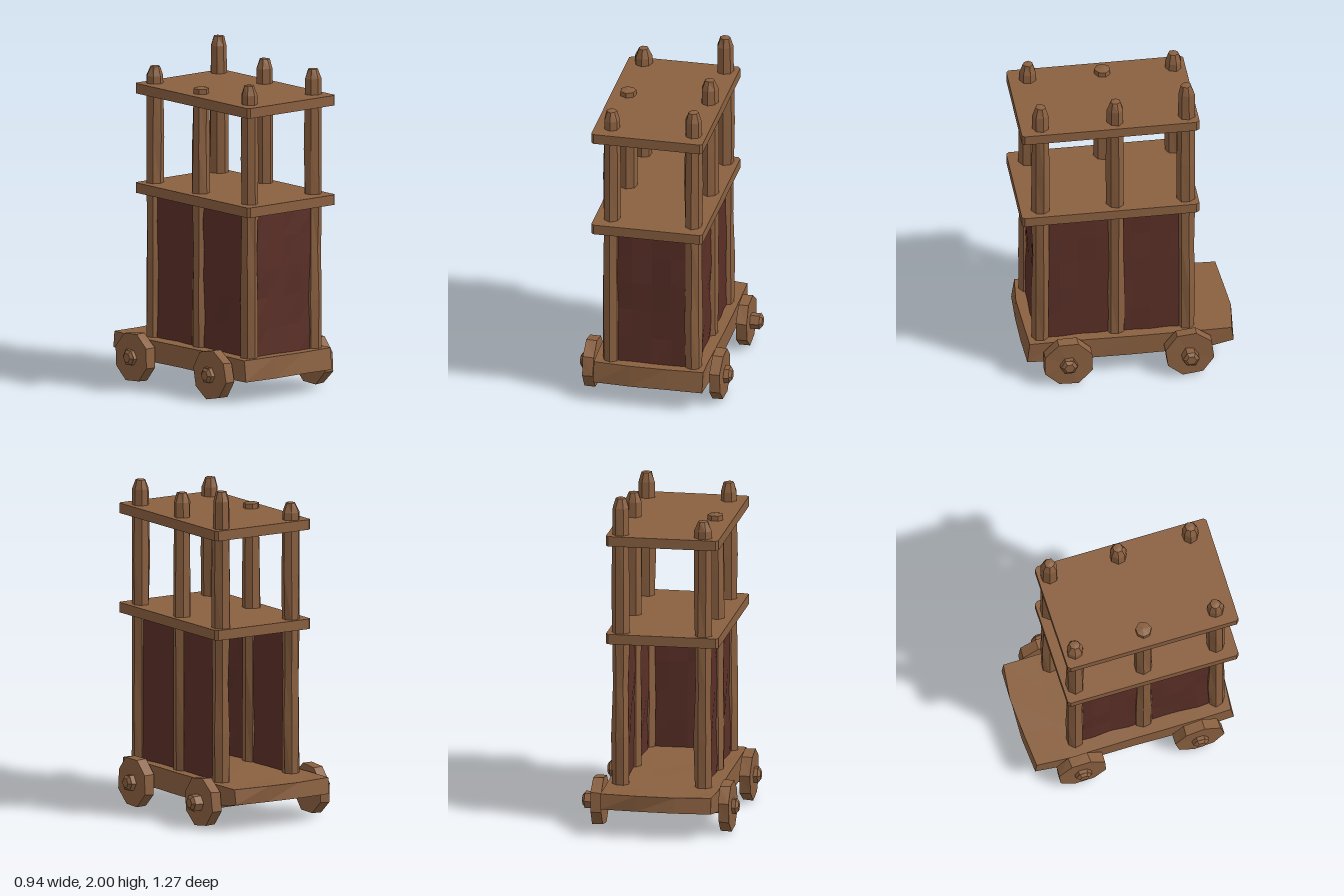
import * as THREE from 'three';

const wood = new THREE.MeshStandardMaterial({ color: 0x8a6040, flatShading: true });
wood.name = 'wood';
const hide = new THREE.MeshStandardMaterial({ color: 0x5a2f27, flatShading: true });
hide.name = 'hide';

// Repeatable noise from a position, so shared corners move together
function noise(x, y, z, seed) {
  const r = (v) => Math.round(v * 1000) / 1000 + 0;
  const s = Math.sin(r(x) * 127.1 + r(y) * 311.7 + r(z) * 74.7 + seed * 19.3) * 43758.5453;
  return (s - Math.floor(s)) * 2 - 1;
}

// Rough-hewn look: shift each vertex by up to the given amounts
function roughen(geo, ax, ay, az, seed) {
  const p = geo.attributes.position;
  for (let i = 0; i < p.count; i++) {
    const x = p.getX(i), y = p.getY(i), z = p.getZ(i);
    p.setXYZ(i, x + ax * noise(x, y, z, seed), y + ay * noise(x, y, z, seed + 1), z + az * noise(x, y, z, seed + 2));
  }
  return geo;
}

function add(parent, name, geo, mat, x = 0, y = 0, z = 0) {
  const mesh = new THREE.Mesh(geo, mat);
  mesh.name = name;
  mesh.position.set(x, y, z);
  parent.add(mesh);
  return mesh;
}

// Slab with clipped corners, given as an outline in x and z
function slab(x0, x1, z0, z1, height, clip) {
  const c = clip;
  const pts = [[x0 + c, z0], [x1 - c, z0 - 0.005], [x1, z0 + c], [x1, z1 - c], [x1 - c, z1], [x0 + c, z1], [x0, z1 - c], [x0, z0 + c]];
  const shape = new THREE.Shape(pts.map(([x, z]) => new THREE.Vector2(x, -z)));
  return new THREE.ExtrudeGeometry(shape, { depth: height, bevelEnabled: false }).rotateX(-Math.PI / 2);
}

// Hewn post: a profile of radii with a blunt tip
function post(bottom, top, blunt, seed) {
  const tip = blunt ? [[0.048, top - 0.01], [0, top]] : [[0.05, top - 0.06], [0.03, top - 0.005], [0, top]];
  const profile = [[0, bottom], [0.052, bottom], [0.055, 0.55], [0.05, 0.85], [0.053, 1.15], [0.054, 1.45], ...tip];
  const geo = new THREE.LatheGeometry(profile.map(([r, y]) => new THREE.Vector2(r, y)), 7);
  const p = geo.attributes.position;
  for (let i = 0; i < p.count; i++) {
    const x = p.getX(i), y = p.getY(i), z = p.getZ(i);
    const k = 1 + 0.1 * noise(x, y, z, seed);
    p.setXYZ(i, x * k, y, z * k);
  }
  return geo;
}

export function createModel() {
  const model = new THREE.Group();
  model.name = 'siegeTower';

  // Base beam, tapering to a lip at the back
  const base = new THREE.BoxGeometry(0.67, 0.13, 1.25, 3, 1, 6);
  const bp = base.attributes.position;
  for (let i = 0; i < bp.count; i++) {
    const x = bp.getX(i), y = bp.getY(i), z = bp.getZ(i);
    if (z < -0.6 && y < 0) bp.setY(i, y + 0.035);
    if (Math.abs(z) > 0.6 && Math.abs(x) > 0.3) {
      bp.setZ(i, z * 0.975);
      bp.setX(i, x * 0.985);
    }
    if (z > 0.6) bp.setZ(i, bp.getZ(i) - (y > 0 ? 0.015 : 0.005));
  }
  add(model, 'base', roughen(base, 0.004, 0.003, 0.008, 3), wood, -0.015, 0.195, 0);

  // Two decks
  add(model, 'middleDeck', slab(-0.35, 0.32, -0.41, 0.64, 0.06, 0.015), wood, 0, 1.12, 0);
  add(model, 'topDeck', slab(-0.35, 0.32, -0.41, 0.64, 0.06, 0.015), wood, 0, 1.715, 0);

  // Six posts: x, z, top height
  const posts = [
    [-0.25, 0.525, 1.89], [-0.25, 0.08, 1.815], [-0.25, -0.34, 1.88],
    [0.24, 0.52, 1.93], [0.24, 0.075, 1.925], [0.24, -0.345, 2.0],
  ];
  posts.forEach(([x, z, top], i) => {
    add(model, 'post', post(0.22, top, top < 1.85, i * 7 + 1), wood, x, 0, z);
  });

  // Hide walls: front and both sides, back left open
  const front = roughen(new THREE.BoxGeometry(0.47, 0.89, 0.03, 4, 5, 1), 0, 0, 0.007, 11);
  add(model, 'frontWall', front, hide, -0.005, 0.69, 0.53);
  for (const x of [-0.25, 0.24]) {
    for (const z of [0.3, -0.13]) {
      const wall = roughen(new THREE.BoxGeometry(0.03, 0.89, 0.43, 1, 5, 4), 0.007, 0, 0, 20 + x + z);
      add(model, 'sideWall', wall, hide, x, 0.69, z);
    }
  }

  // Axles with rough ends and octagonal wheels
  [[0.375, -0.468, 0.445], [-0.345, -0.465, 0.468]].forEach(([z, x0, x1], i) => {
    const axle = new THREE.CylinderGeometry(0.05, 0.05, x1 - x0 - 0.03, 6, 3).rotateZ(Math.PI / 2);
    add(model, 'axle', roughen(axle, 0, 0.004, 0.004, i + 30), wood, (x0 + x1) / 2, 0.152, z);
    for (const side of [-1, 1]) {
      const cap = new THREE.CylinderGeometry(0.03, 0.05, 0.016, 6).rotateZ(-side * Math.PI / 2);
      add(model, 'axleEnd', cap, wood, side < 0 ? x0 + 0.008 : x1 - 0.008, 0.152, z);
      const wheel = new THREE.CylinderGeometry(0.152, 0.152, 0.064, 8).rotateZ(Math.PI / 2);
      wheel.rotateX(0.3 + i * 0.12 + side * 0.1);
      add(model, 'wheel', roughen(wheel, 0.003, 0.003, 0.003, i + side + 40), wood, side < 0 ? -0.397 : 0.367, 0.153, z);
    }
  });

  return model;
}
